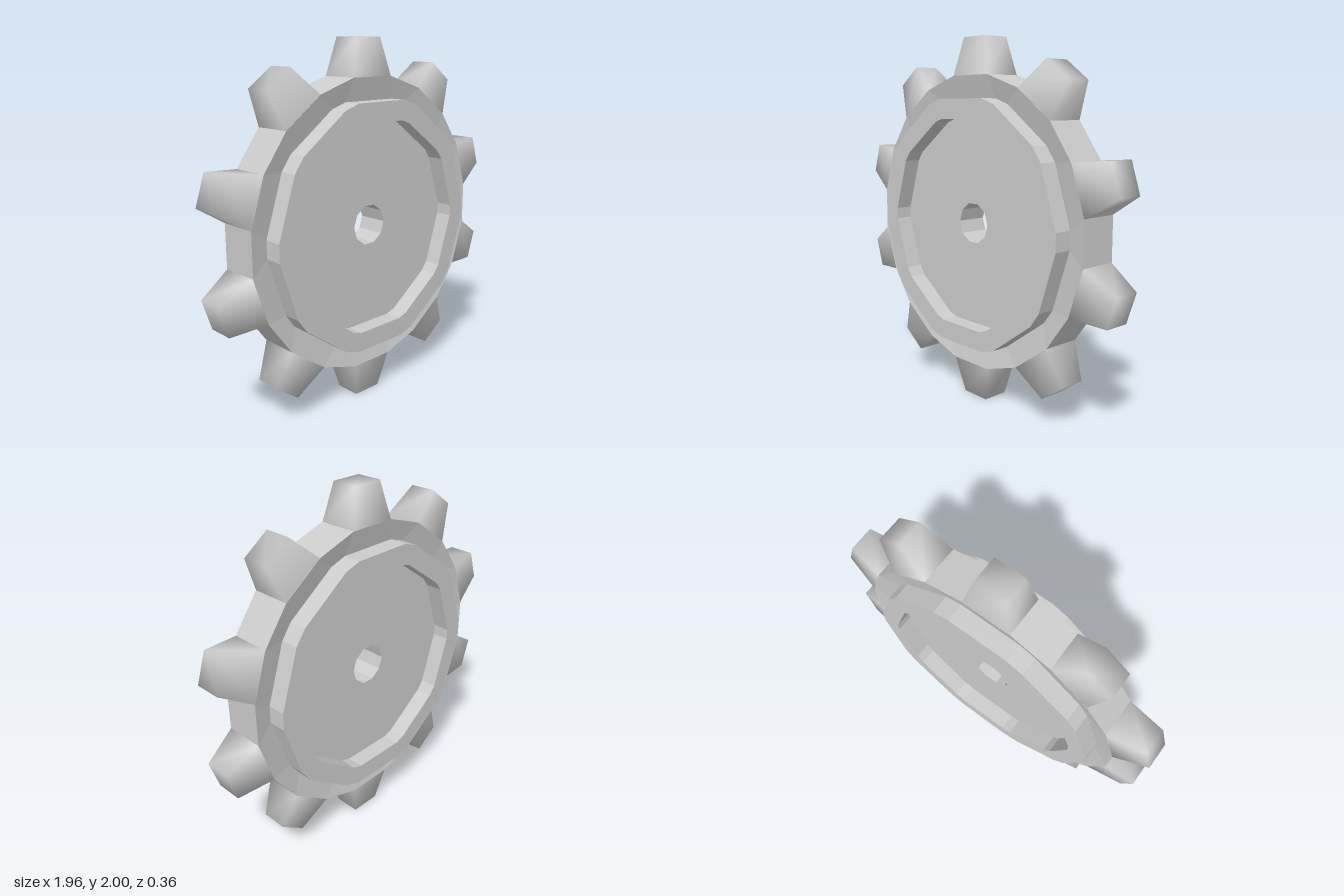
import * as THREE from 'three';

const TEETH = 10;
const rad = THREE.MathUtils.degToRad;

// Twenty points round the axis: each tooth sector has a flat of +-half degrees
function ring([r, half, z]) {
  const pts = [];
  for (let k = 0; k < TEETH; k++) {
    for (const s of [-1, 1]) {
      const a = rad(k * 360 / TEETH + s * half);
      pts.push(new THREE.Vector3(r * Math.sin(a), r * Math.cos(a), z));
    }
  }
  return pts;
}

// Closed skin through a loop of rings, skipping collapsed triangles
function loftLoop(sections) {
  const rings = sections.map(ring), n = TEETH * 2, pos = [];
  const tri = new THREE.Triangle();
  const add = (a, b, c) => {
    if (tri.set(a, b, c).getArea() > 1e-7) for (const p of [a, b, c]) pos.push(p.x, p.y, p.z);
  };
  rings.forEach((p, i) => {
    const q = rings[(i + 1) % rings.length];
    for (let j = 0; j < n; j++) {
      const k = (j + 1) % n;
      add(p[j], p[k], q[k]);
      add(p[j], q[k], q[j]);
    }
  });
  const g = new THREE.BufferGeometry();
  g.setAttribute('position', new THREE.Float32BufferAttribute(pos, 3));
  g.computeVertexNormals();
  return g;
}

// Tapered tooth with shared corners, so its shading is soft
function toothGeometry() {
  const pos = [];
  for (const [x, y, z] of [[0.135, 0.797, 0.108], [0.087, 1, 0.073]]) {
    pos.push(-x, y, z, x, y, z, x, y, -z, -x, y, -z);
  }
  const index = [4, 5, 6, 4, 6, 7];
  for (let i = 0; i < 4; i++) {
    const j = (i + 1) % 4;
    index.push(i, j, j + 4, i, j + 4, i + 4);
  }
  const g = new THREE.BufferGeometry();
  g.setAttribute('position', new THREE.Float32BufferAttribute(pos, 3));
  g.setIndex(index);
  g.computeVertexNormals();
  return g;
}

export function createModel() {
  const model = new THREE.Group();
  model.name = 'sprocketWheel';

  // Wheel: bore, recessed web, raised rim, dished flange; mirrored to the back
  const front = [
    [0.113, 18, 0.085],
    [0.586, 15, 0.085],
    [0.586, 15, 0.18],
    [0.695, 14, 0.18],
    [0.695, 14, 0.08],
    [0.809, 9.6, 0.109],
  ];
  const back = front.map(([r, h, z]) => [r, h, -z]).reverse();
  const wheel = new THREE.Mesh(
    loftLoop([...front, ...back]),
    new THREE.MeshStandardMaterial({ color: 0xcccccc, flatShading: true })
  );
  wheel.name = 'wheel';
  wheel.position.y = 1;
  model.add(wheel);

  // Teeth round the flange
  const teeth = new THREE.Group();
  teeth.name = 'teeth';
  teeth.position.y = 1;
  const geometry = toothGeometry();
  const material = new THREE.MeshStandardMaterial({ color: 0xcccccc });
  for (let k = 0; k < TEETH; k++) {
    const tooth = new THREE.Mesh(geometry, material);
    tooth.name = 'tooth' + (k + 1);
    tooth.rotation.z = k * 2 * Math.PI / TEETH;
    teeth.add(tooth);
  }
  model.add(teeth);
  return model;
}
